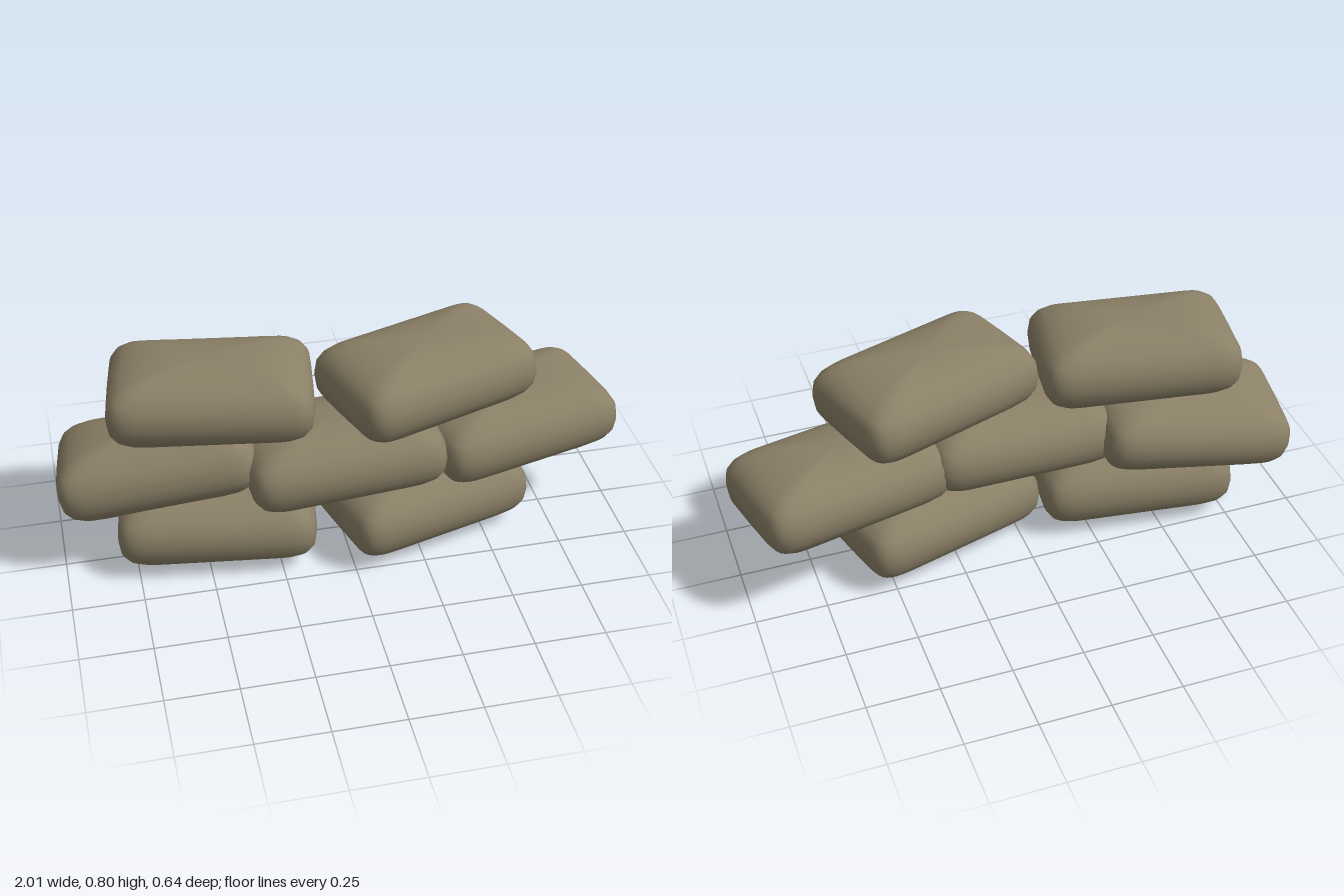
import * as THREE from 'three';
import { mergeVertices } from 'three/addons/utils/BufferGeometryUtils.js';

// Filled sack: rounded-rectangle plan with a softly bulging cross-section
function sackGeometry(halfLength, halfHeight, halfWidth) {
  const geo = new THREE.SphereGeometry(1, 40, 14);
  geo.deleteAttribute('uv');
  geo.deleteAttribute('normal');
  const pos = geo.attributes.position;
  const spow = (v, e) => Math.sign(v) * Math.pow(Math.abs(v), e);
  for (let i = 0; i < pos.count; i++) {
    const x = pos.getX(i), y = pos.getY(i), z = pos.getZ(i);
    const s = Math.hypot(x, z);
    const c = s > 1e-6 ? x / s : 0, n = s > 1e-6 ? z / s : 0;
    // fuller along the length, rounder across the width
    const e = 2 / (2.2 + 0.7 * c * c);
    const r = s > 1e-6 ? Math.pow(s, e) : 0;
    pos.setXYZ(i,
      halfLength * r * spow(c, 2 / 7),
      halfHeight * spow(y, e),
      halfWidth * r * spow(n, 2 / 7));
  }
  const merged = mergeVertices(geo, 1e-5);
  merged.computeVertexNormals();
  return merged;
}

export function createModel() {
  const group = new THREE.Group();
  group.name = 'sandbagWall';
  const material = new THREE.MeshStandardMaterial({ color: 0x8b8067 });
  const geometry = sackGeometry(0.35, 0.145, 0.23);

  // name, centre, tilt about x / yaw / tilt about z
  const bags = [
    ['bottomRightBag', [-0.45, 0.146, -0.02], [0, -0.13, 0]],
    ['bottomLeftBag', [0.293, 0.146, 0.005], [0, 0.28, 0]],
    ['middleRightBag', [-0.643, 0.362, -0.075], [-0.12, -0.1, 0.14]],
    ['middleCentreBag', [-0.015, 0.387, 0.03], [0, 0.05, 0.04]],
    ['middleLeftBag', [0.63, 0.382, -0.045], [0.04, 0.24, 0.02]],
    ['topRightBag', [-0.45, 0.652, -0.02], [0, -0.15, 0]],
    ['topLeftBag', [0.295, 0.65, 0.014], [0, 0.33, 0]],
  ];
  for (const [name, centre, [tilt, yaw, roll]] of bags) {
    const bag = new THREE.Mesh(geometry, material);
    bag.name = name;
    bag.position.set(...centre);
    bag.rotation.set(tilt, yaw, roll, 'YXZ');
    group.add(bag);
  }
  return group;
}
